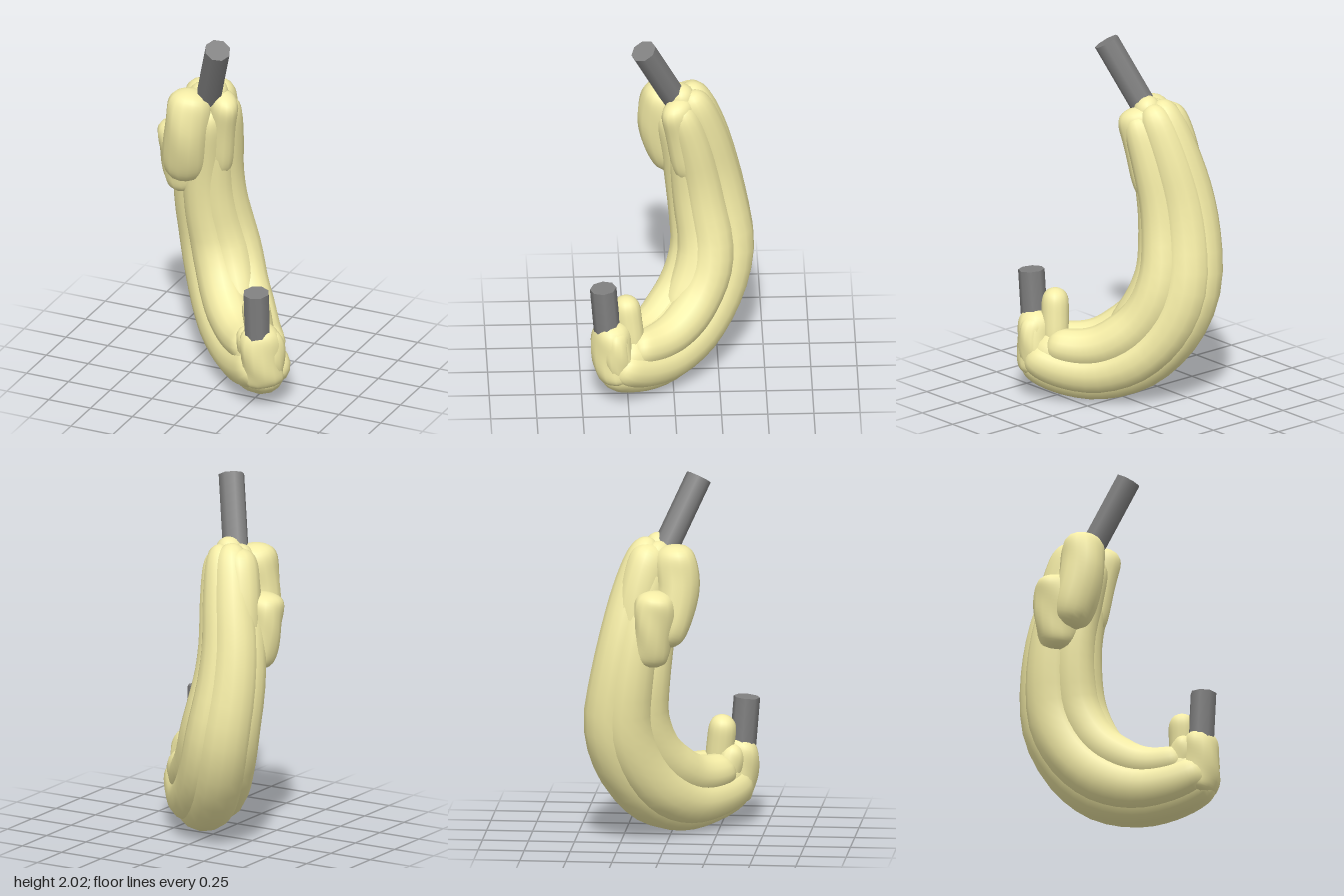
import * as THREE from 'three';

const V = (p) => new THREE.Vector3(...p);
const SIDE = new THREE.Vector3(-1, 0, 1).normalize(); // across the plane of the bend

const fleshMat = new THREE.MeshStandardMaterial({ color: 0xf4eca6 });
const boneMat = new THREE.MeshStandardMaterial({ color: 0x808080 });

// Centre line of the limb, from the upper end round the bend to the lower end
const spine = new THREE.CatmullRomCurve3([
  [-0.12, 1.63, -0.035], [-0.18, 1.35, -0.115], [-0.225, 1.0, -0.18], [-0.175, 0.62, -0.22],
  [-0.06, 0.355, -0.115], [0.105, 0.22, 0.055], [0.265, 0.225, 0.235], [0.365, 0.29, 0.355],
].map(V));

// The limb is slimmer towards both ends
const slim = (u) => 0.69 + 0.31 * Math.min(1, u * 2.3, (1 - u) * 2.7);

// In-plane frame of a path: side vector and outward vector
function frame(curve, u) {
  const t = curve.getTangent(u);
  const side = SIDE.clone().addScaledVector(t, -SIDE.dot(t)).normalize();
  return { side, out: t.clone().cross(side) };
}

// A muscle: elliptical sections swept along a path, rounded off at both ends
function muscle(name, curve, rSide, rOut, { rings = 32, sides = 14, blunt = 8, size = () => 1, waver = 0 } = {}) {
  const pos = [], idx = [];
  for (let i = 0; i <= rings; i++) {
    const u = (1 - Math.cos((Math.PI * i) / rings)) / 2;
    const c = curve.getPoint(u), { side, out } = frame(curve, u);
    const k = size(u) * Math.sqrt(Math.max(0, 1 - Math.abs(2 * u - 1) ** blunt));
    for (let j = 0; j < sides; j++) {
      const a = (j / sides) * Math.PI * 2;
      const w = k * (1 + waver * Math.sin(3 * a + 9 * u));
      const p = c.clone().addScaledVector(side, Math.cos(a) * rSide * w).addScaledVector(out, Math.sin(a) * rOut * w);
      pos.push(p.x, p.y, p.z);
      if (i < rings) {
        const n = (j + 1) % sides, A = i * sides + j, B = i * sides + n;
        idx.push(A, B, A + sides, B, B + sides, A + sides);
      }
    }
  }
  const g = new THREE.BufferGeometry();
  g.setAttribute('position', new THREE.Float32BufferAttribute(pos, 3));
  g.setIndex(idx);
  g.computeVertexNormals();
  const m = new THREE.Mesh(g, fleshMat);
  m.name = name;
  return m;
}

// A long muscle running beside the centre line
function longMuscle(name, dSide, dOut, rSide, rOut, from = 0, to = 1, blunt = 16) {
  const pts = [];
  for (let i = 0; i <= 12; i++) {
    const u = from + ((to - from) * i) / 12;
    const { side, out } = frame(spine, u), k = slim(u);
    pts.push(spine.getPoint(u).addScaledVector(side, dSide * k).addScaledVector(out, dOut * k));
  }
  const size = (u) => slim(from + (to - from) * u);
  return muscle(name, new THREE.CatmullRomCurve3(pts), rSide, rOut, { rings: 44, blunt, size });
}

const path = (...pts) => new THREE.CatmullRomCurve3(pts.map(V));

// Eight-sided bone between two points
function bone(name, from, to, radius) {
  const a = V(from), b = V(to);
  const m = new THREE.Mesh(new THREE.CylinderGeometry(radius, radius, a.distanceTo(b), 8), boneMat);
  m.position.copy(a).lerp(b, 0.5);
  m.quaternion.setFromUnitVectors(new THREE.Vector3(0, 1, 0), b.sub(a).normalize());
  m.name = name;
  return m;
}

export function createModel() {
  const model = new THREE.Group();
  model.name = 'bentLimb';

  // Bones at both ends
  model.add(bone('upperBone', [-0.18, 1.52, -0.05], [-0.02, 1.965, 0.155], 0.071));
  model.add(bone('lowerBone', [0.315, 0.25, 0.35], [0.318, 0.68, 0.385], 0.072));

  // Long muscles running round the bend
  model.add(
    longMuscle('coreMuscle', 0, 0, 0.18, 0.19, 0.02, 0.98),
    longMuscle('outerMiddleMuscle', -0.005, 0.125, 0.145, 0.135, 0, 0.98),
    longMuscle('outerRightMuscle', 0.08, 0.06, 0.125, 0.145, 0, 0.98),
    longMuscle('outerLeftMuscle', -0.08, 0.06, 0.125, 0.14, 0, 0.98),
    longMuscle('innerRightMuscle', 0.07, -0.085, 0.125, 0.125, 0.04, 0.92),
    longMuscle('innerLeftMuscle', -0.075, -0.08, 0.12, 0.125, 0.01, 0.92),
    longMuscle('innerMiddleMuscle', 0, -0.115, 0.12, 0.115, 0.08, 0.66, 4),
  );

  // Short muscles on the upper end
  model.add(
    muscle('upperFrontMuscle', path([-0.235, 1.635, 0.03], [-0.25, 1.4, 0.055], [-0.3, 1.08, -0.02]), 0.125, 0.12, { blunt: 6, waver: 0.03 }),
    muscle('upperBackMuscle', path([-0.2, 1.63, -0.07], [-0.26, 1.35, -0.14], [-0.28, 0.95, -0.19]), 0.11, 0.13, { blunt: 6 }),
    muscle('upperSideMuscle', path([-0.365, 1.4, -0.045], [-0.35, 1.2, -0.06], [-0.31, 0.98, -0.09]), 0.105, 0.115, { blunt: 7, waver: 0.05 }),
    muscle('upperLeftMuscle', path([-0.06, 1.62, -0.02], [-0.1, 1.42, -0.06], [-0.14, 1.1, -0.11]), 0.08, 0.11, { blunt: 6 }),
    muscle('upperTendon', path([-0.13, 1.68, -0.06], [-0.14, 1.55, -0.05], [-0.16, 1.3, -0.08]), 0.08, 0.08, { blunt: 3 }),
  );

  // Short muscles gathered round the lower bone
  model.add(
    muscle('lowerCuff', path([0.335, 0.1, 0.3], [0.33, 0.25, 0.33], [0.315, 0.47, 0.345]), 0.12, 0.105, { blunt: 5, waver: 0.05 }),
    muscle('lowerBackKnob', path([0.25, 0.59, 0.265], [0.265, 0.45, 0.25], [0.29, 0.2, 0.22]), 0.08, 0.075, { blunt: 4 }),
    muscle('lowerLeftKnob', path([0.36, 0.44, 0.31], [0.385, 0.3, 0.31], [0.36, 0.13, 0.28]), 0.065, 0.07, { blunt: 4, waver: 0.06 }),
    muscle('lowerRightKnob', path([0.24, 0.43, 0.33], [0.225, 0.3, 0.3], [0.23, 0.14, 0.26]), 0.06, 0.07, { blunt: 4, waver: 0.06 }),
  );
  return model;
}
